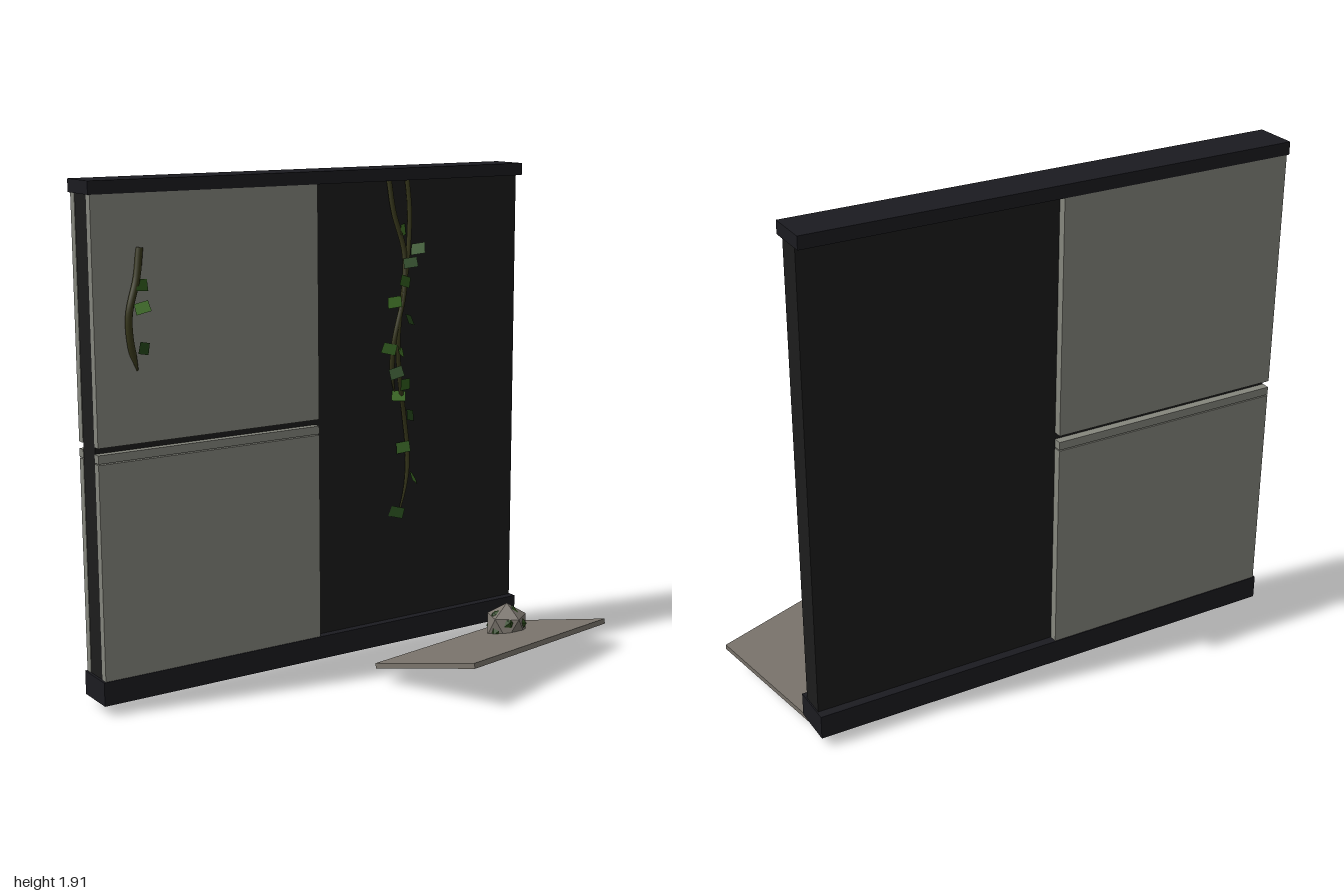
import * as THREE from 'three';

const mat = (color, extra = {}) => {
  const m = new THREE.MeshStandardMaterial({ color, ...extra });
  return m;
};

export function createModel() {
  const model = new THREE.Group();
  const dark = mat(0x1c1c1c), trim = mat(0x1b1b20), plaster = mat(0x85867d);
  const stone = mat(0x7a746c, { flatShading: true });
  const moss = mat(0x2c4a1c, { flatShading: true });
  const stem = mat(0x36361a);
  const leafMats = [0x2f5a1c, 0x3f7026, 0x24461a].map(c => mat(c, { side: THREE.DoubleSide }));

  const add = (name, geometry, material, parent = model) => {
    const mesh = new THREE.Mesh(geometry, material);
    mesh.name = name;
    parent.add(mesh);
    return mesh;
  };
  // Box given by its extents on each axis
  const box = (name, [x0, x1], [y0, y1], [z0, z1], material) =>
    add(name, new THREE.BoxGeometry(x1 - x0, y1 - y0, z1 - z0), material)
      .position.set((x0 + x1) / 2, (y0 + y1) / 2, (z0 + z1) / 2);

  // Wall core with base and top rails
  box('wallCore', [-0.99, 0.87], [0.08, 1.9], [-0.391, -0.297], dark);
  box('baseRail', [-1, 0.875], [0.04, 0.13], [-0.425, -0.265], trim);
  box('topRail', [-1, 0.875], [1.868, 1.915], [-0.425, -0.265], trim);

  // Pale panels on both faces, with a narrow lip above the lower one
  for (const [side, z] of [['front', [-0.297, -0.268]], ['back', [-0.422, -0.391]]]) {
    box(side + 'LowerPanel', [-0.992, -0.08], [0.13, 0.928], z, plaster);
    box(side + 'PanelLip', [-0.992, -0.08], [0.932, 0.963], z, plaster);
    box(side + 'UpperPanel', [-0.992, -0.08], [0.988, 1.868], z, plaster);
  }

  // Fallen panel, tilted on the ground
  const u = new THREE.Vector3(0.85, -0.055, -0.255), v = new THREE.Vector3(0.14, 0.1, 0.435);
  const n = v.clone().cross(u).normalize();
  const fallen = add('fallenPanel', new THREE.BoxGeometry(u.length(), 0.02, v.length()), stone);
  fallen.quaternion.setFromRotationMatrix(
    new THREE.Matrix4().makeBasis(u.clone().normalize(), n, n.clone().cross(u).normalize().negate()));
  fallen.position.set(0.5, 0.09, 0.075);

  // Mossy rock resting through the panel
  const rock = new THREE.Group();
  rock.name = 'rock';
  rock.position.set(0.675, 0.095, -0.065);
  add('rockStone', new THREE.IcosahedronGeometry(0.09, 0), stone, rock).rotation.set(0, 0.3, 0.55);
  add('rockMoss', new THREE.IcosahedronGeometry(0.084, 0), moss, rock).rotation.set(0.5, 0.9, 0.2);
  model.add(rock);

  // Hanging vines: tapered tubes along smooth curves
  const vine = (name, points, radius) => {
    const curve = new THREE.CatmullRomCurve3(points.map(p => new THREE.Vector3(...p)));
    const segments = 32, sides = 6;
    const g = new THREE.TubeGeometry(curve, segments, radius, sides);
    const pos = g.attributes.position, p = new THREE.Vector3();
    for (let i = 0; i < pos.count; i++) {
      const t = Math.floor(i / (sides + 1)) / segments;
      const c = curve.getPointAt(t);
      p.fromBufferAttribute(pos, i).sub(c).multiplyScalar(t > 0.85 ? 1 - (t - 0.85) * 5 : 1).add(c);
      pos.setXYZ(i, p.x, p.y, p.z);
    }
    add(name, g, stem);
  };
  vine('shortWallVine', [[0.25, 1.87, -0.285], [0.265, 1.75, -0.275], [0.3, 1.6, -0.255],
    [0.292, 1.45, -0.243], [0.25, 1.25, -0.25], [0.255, 1.13, -0.27], [0.28, 1.04, -0.285]], 0.01);
  vine('longWallVine', [[0.33, 1.87, -0.28], [0.335, 1.75, -0.27], [0.31, 1.55, -0.25],
    [0.28, 1.4, -0.245], [0.265, 1.25, -0.245], [0.285, 1.1, -0.26], [0.32, 0.95, -0.28],
    [0.34, 0.8, -0.285], [0.33, 0.68, -0.283], [0.295, 0.55, -0.285]], 0.01);
  vine('panelVine', [[-0.812, 1.68, -0.265], [-0.83, 1.58, -0.255], [-0.866, 1.45, -0.25],
    [-0.862, 1.35, -0.252], [-0.832, 1.25, -0.265]], 0.013);

  // Leaves: skewed four-sided blades turned outward
  const blade = new THREE.ShapeGeometry(new THREE.Shape(
    [[-0.03, -0.018], [0.026, -0.022], [0.032, 0.02], [-0.02, 0.024]].map(p => new THREE.Vector2(...p))));
  const leaves = [[0.37, 1.605, -0.265], [0.305, 1.68, -0.27], [0.3, 1.56, -0.215], [0.28, 1.49, -0.22],
    [0.245, 1.41, -0.24], [0.31, 1.34, -0.23], [0.23, 1.23, -0.255], [0.275, 1.22, -0.24],
    [0.24, 1.14, -0.22], [0.285, 1.09, -0.225], [0.28, 1.04, -0.265], [0.33, 0.96, -0.255],
    [0.31, 0.83, -0.275], [0.365, 0.7, -0.28], [0.285, 0.57, -0.282],
    [-0.815, 1.55, -0.25], [-0.83, 1.475, -0.22], [-0.82, 1.33, -0.235]];
  leaves.forEach(([x, y, z], i) => {
    const leaf = add('leaf', blade, leafMats[i % 3]);
    leaf.position.set(x, y, z);
    leaf.rotation.set(-0.35 + 0.3 * Math.sin(i * 2.3), (i % 2 ? 1 : -1) * (0.5 + 0.25 * Math.cos(i)), 0.2 * Math.sin(i * 1.7));
  });

  return model;
}
